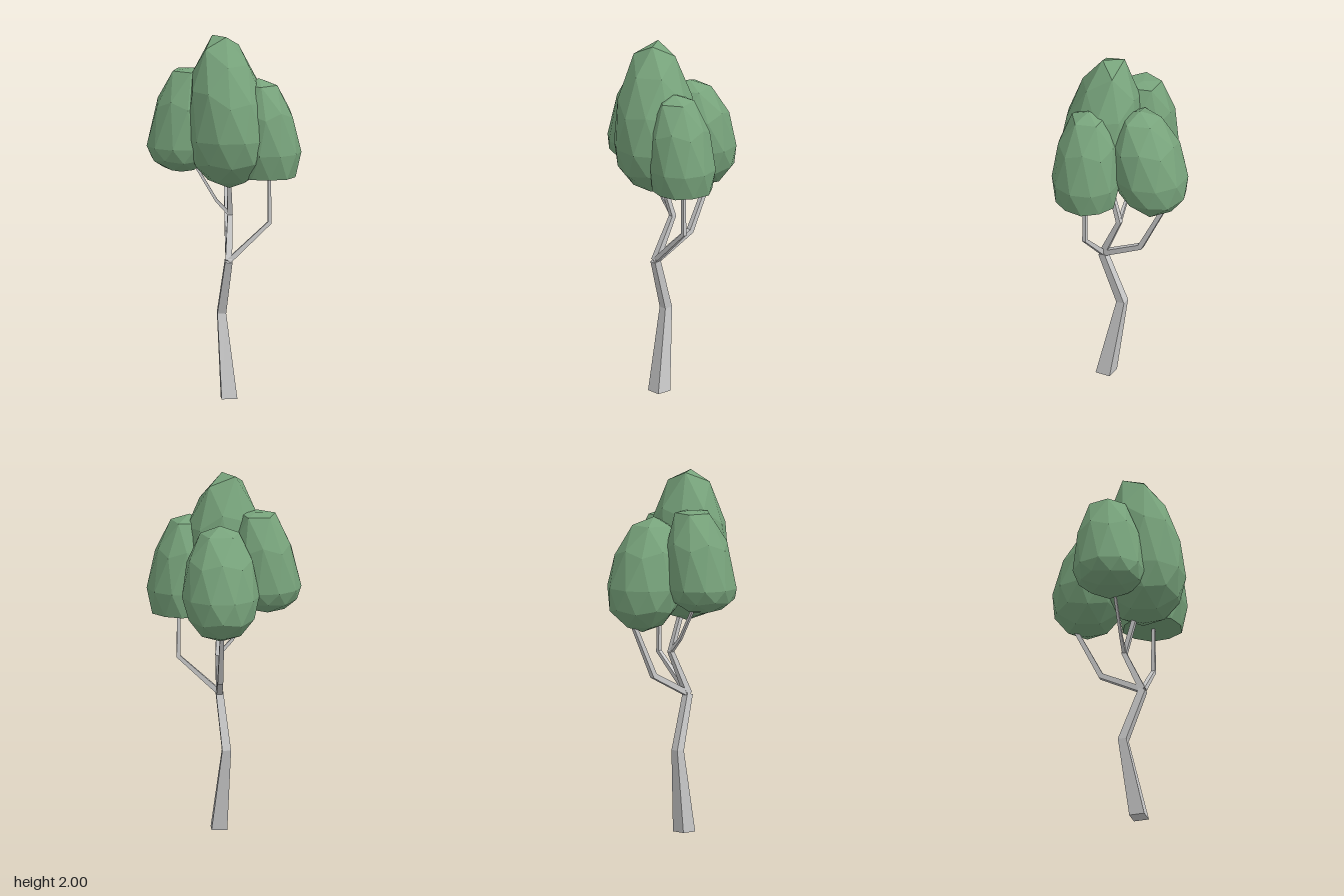
import * as THREE from 'three';

const bark = new THREE.MeshStandardMaterial({ color: 0xcccccc, flatShading: true });
const leaf = new THREE.MeshStandardMaterial({ color: 0x78a47c, flatShading: true });

// Square-section limb through nodes [x, y, z, halfWidth]
function limb(name, nodes) {
  const pts = nodes.map((n) => new THREE.Vector3(n[0], n[1], n[2]));
  const positions = [];
  const index = [];
  nodes.forEach((n, i) => {
    const dir = new THREE.Vector3();
    if (i > 0) dir.add(pts[i].clone().sub(pts[i - 1]).normalize());
    if (i < pts.length - 1) dir.add(pts[i + 1].clone().sub(pts[i]).normalize());
    if (n[1] === 0) dir.set(0, 1, 0); // the foot is cut level with the ground
    dir.normalize();
    const u = new THREE.Vector3(1, 0, 0).addScaledVector(dir, -dir.x).normalize();
    const v = new THREE.Vector3().crossVectors(u, dir);
    for (const [a, b] of [[-1, -1], [-1, 1], [1, 1], [1, -1]]) {
      const p = pts[i].clone().addScaledVector(u, a * n[3]).addScaledVector(v, b * n[3]);
      positions.push(p.x, p.y, p.z);
    }
    if (i > 0) {
      for (let k = 0; k < 4; k++) {
        const a = (i - 1) * 4 + k, b = (i - 1) * 4 + ((k + 1) % 4);
        index.push(a, b, b + 4, a, b + 4, a + 4);
      }
    }
  });
  // End caps
  const e = (nodes.length - 1) * 4;
  index.push(0, 2, 1, 0, 3, 2, e, e + 1, e + 2, e, e + 2, e + 3);
  const geo = new THREE.BufferGeometry();
  geo.setAttribute('position', new THREE.Float32BufferAttribute(positions, 3));
  geo.setIndex(index);
  const flat = geo.toNonIndexed();
  flat.computeVertexNormals();
  const mesh = new THREE.Mesh(flat, bark);
  mesh.name = name;
  return mesh;
}

// Egg-shaped faceted crown: wide below, drawn up, leaning and tilted towards its top
function crown(name, o) {
  const geo = new THREE.IcosahedronGeometry(1, 1);
  geo.rotateX(-Math.atan((1 + Math.sqrt(5)) / 2)); // one corner straight up
  const [tiltX, tiltZ] = o.tilt ?? [0, 0];
  const pos = geo.attributes.position;
  for (let i = 0; i < pos.count; i++) {
    const t = pos.getY(i);
    const up = Math.max(t, 0);
    const dx = pos.getX(i) * o.rx;
    const dz = pos.getZ(i) * o.rz;
    const y = o.y + t * (t > 0 ? o.top - o.y : o.y - o.bottom) - (tiltX * dx + tiltZ * dz) * up;
    pos.setXYZ(i,
      o.x + dx + o.leanX * up,
      THREE.MathUtils.clamp(y, o.floor ?? 0, o.ceiling),
      o.z + dz + o.leanZ * Math.max(t, -0.3));
  }
  geo.computeVertexNormals();
  const mesh = new THREE.Mesh(geo, leaf);
  mesh.name = name;
  return mesh;
}

export function createModel() {
  const tree = new THREE.Group();
  tree.name = 'tree';

  // Trunk and branches
  const fork = [0.02, 0.76, 0.14];
  const knee = [0.035, 1.0, 0.03];
  tree.add(
    limb('trunk', [[0.024, 0, 0.117, 0.043], [-0.012, 0.46, 0.038, 0.024], [...fork, 0.02]]),
    limb('leftBranch', [[...fork, 0.014], [0.245, 0.97, 0.13, 0.011], [0.243, 1.32, 0.13, 0.008]]),
    limb('middleBranch', [[...fork, 0.018], [...knee, 0.014], [0.022, 1.26, 0.11, 0.011]]),
    limb('rightBranch', [[...knee, 0.01], [-0.04, 1.08, 0.033, 0.008], [-0.17, 1.3, 0.035, 0.007]]),
    limb('backBranch', [[...fork, 0.016], [0.03, 0.88, -0.1, 0.015], [0.03, 1.22, -0.27, 0.011]]),
  );

  // Foliage
  tree.add(
    crown('frontCrown', {
      x: 0.024, y: 1.44, z: 0.143, rx: 0.233, rz: 0.233, top: 2.0, bottom: 1.165,
      leanX: -0.018, leanZ: 0.007, tilt: [0.45, 0.65], ceiling: 2,
    }),
    crown('backCrown', {
      x: 0.032, y: 1.38, z: -0.161, rx: 0.212, rz: 0.211, top: 1.775, bottom: 1.13,
      leanX: 0, leanZ: 0.065, ceiling: 1.76,
    }),
    crown('rightCrown', {
      x: -0.23, y: 1.385, z: 0.022, rx: 0.191, rz: 0.197, top: 1.87, bottom: 1.24,
      leanX: 0.055, leanZ: -0.025, ceiling: 1.81,
    }),
    crown('leftCrown', {
      x: 0.235, y: 1.36, z: 0.13, rx: 0.184, rz: 0.19, top: 1.8, bottom: 1.06,
      leanX: -0.05, leanZ: 0.01, floor: 1.227, ceiling: 1.77,
    }),
  );
  return tree;
}
